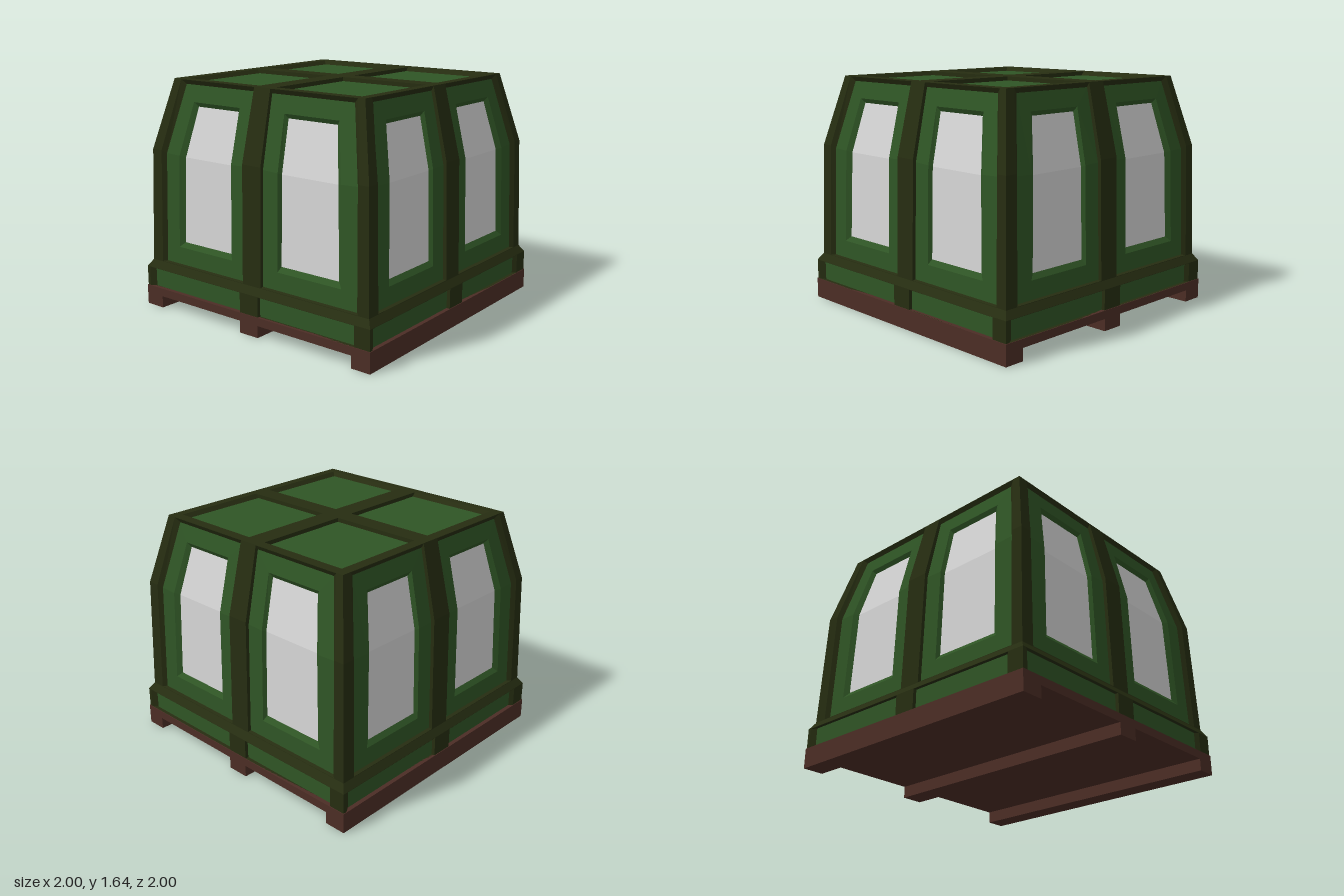
import * as THREE from 'three';

const mat = (name, color) => {
  const m = new THREE.MeshStandardMaterial({ color });
  m.name = name;
  return m;
};

// Half-width of the cabin at each height
const PROFILE = [[0.14, 0.995], [0.285, 0.995], [0.335, 0.962], [1.145, 0.94], [1.64, 0.82]];
function halfWidth(y) {
  for (let i = 1; i < PROFILE.length; i++) {
    const [y0, w0] = PROFILE[i - 1], [y1, w1] = PROFILE[i];
    if (y <= y1) return w0 + (w1 - w0) * (y - y0) / (y1 - y0);
  }
  return PROFILE[PROFILE.length - 1][1];
}

// Points [u, v, depth] of a surface are placed in space by these rules
const onWall = ([u, v, d]) => [u, v, halfWidth(v) - d];
const onRoof = ([u, v, d]) => [u, 1.64 - d, -v];

// Flat-shaded mesh from a list of quads
function quadMesh(name, material, quads, place) {
  const pos = [];
  for (const q of quads) {
    const p = q.map(place);
    for (const i of [0, 1, 2, 0, 2, 3]) pos.push(...p[i]);
  }
  const g = new THREE.BufferGeometry();
  g.setAttribute('position', new THREE.Float32BufferAttribute(pos, 3));
  g.computeVertexNormals();
  const mesh = new THREE.Mesh(g, material);
  mesh.name = name;
  return mesh;
}

// Quads joining an outline to a matching inner outline
const ring = (a, b) => a.map((p, i) => {
  const j = (i + 1) % a.length;
  return [p, a[j], b[j], b[i]];
});

// Mirror an outline for the other half, keeping it counter-clockwise
const sided = (pts, s) => s > 0 ? pts : pts.map(([u, v, d]) => [-u, v, d]).reverse();

// Rectangle outline
const rect = (u0, u1, v0, v1, d, s = 1) =>
  sided([[u0, v0, d], [u1, v0, d], [u1, v1, d], [u0, v1, d]], s);

// Bay outline that bends with the wall: inner edge, three outer edge points
const bay = (inner, [o0, o1, o2], y0, yk, y1, d, s) =>
  sided([[inner[0], y0, d], [o0, y0, d], [o1, yk, d], [o2, y1, d], [inner[1], y1, d], [inner[0], yk, d]], s);

const fillBay = (p, s) => s > 0
  ? [[p[0], p[1], p[2], p[5]], [p[5], p[2], p[3], p[4]]]
  : [[p[0], p[3], p[4], p[5]], [p[0], p[1], p[2], p[3]]];

function box(name, material, x0, x1, y0, y1, z0, z1) {
  const m = new THREE.Mesh(new THREE.BoxGeometry(x1 - x0, y1 - y0, z1 - z0), material);
  m.position.set((x0 + x1) / 2, (y0 + y1) / 2, (z0 + z1) / 2);
  m.name = name;
  return m;
}

export function createModel() {
  const green = mat('panel green', 0x2f5525);
  const olive = mat('frame dark olive', 0x262d11);
  const brown = mat('base brown', 0x4c2d25);
  const glass = mat('pale glass', 0xd6d6d6);

  const model = new THREE.Group();
  model.name = 'cabin';

  // Pallet base with three runners
  const base = new THREE.Group();
  base.name = 'base';
  base.add(box('deck', brown, -1, 1, 0.085, 0.143, -1, 1));
  for (const [x0, x1] of [[-1, -0.845], [-0.08, 0.08], [0.855, 1]])
    base.add(box('runner', brown, x0, x1, 0, 0.085, -1, 1));
  model.add(base);

  // Four identical walls, each with two bays
  for (let k = 0; k < 4; k++) {
    const wall = new THREE.Group();
    wall.name = 'wall';
    wall.rotation.y = k * Math.PI / 2;
    const frame = [], panel = [], panes = [];

    for (const s of [1, -1]) {
      const t = s * 0.007;
      const outer = (a) => a.map((v) => v + t);

      // Frame around the upper bay and its bevelled reveal
      const cell = bay([0, 0], [halfWidth(0.335), halfWidth(1.145), 0.82], 0.335, 1.145, 1.64, 0, s);
      const opening = bay([0.08, 0.07], outer([0.873, 0.86, 0.76]), 0.338, 1.145, 1.637, 0, s);
      const inset = bay([0.08, 0.07], outer([0.847, 0.832, 0.725]), 0.342, 1.125, 1.606, 0.025, s);
      frame.push(...ring(cell, opening), ...ring(opening, inset));

      // Panel with its window opening and glass
      const win = bay([0.205, 0.195], outer([0.722, 0.705, 0.63]), 0.465, 1.12, 1.49, 0.025, s);
      const pane = bay([0.22, 0.215], outer([0.685, 0.667, 0.602]), 0.5, 1.11, 1.46, 0.05, s);
      panel.push(...ring(inset, win), ...ring(win, pane));
      panes.push(...fillBay(pane, s));

      // Lower skirt: one corner post is narrower than the other
      const [post, floor] = s > 0 ? [0.88, 0.855] : [0.97, 0.93];
      const low = rect(0.08, post, 0.143, 0.283, 0, s);
      const lowIn = rect(0.08, floor, 0.143, 0.283, 0.025, s);
      frame.push(...ring(rect(0, 0.995, 0.143, 0.285, 0, s), low), ...ring(low, lowIn));
      panel.push(lowIn);
    }

    // Sloped sill between skirt and upper wall
    const w = halfWidth(0.335);
    frame.push([[-0.995, 0.285, 0], [0.995, 0.285, 0], [w, 0.335, 0], [-w, 0.335, 0]]);

    wall.add(
      quadMesh('wallFrame', olive, frame, onWall),
      quadMesh('wallPanel', green, panel, onWall),
      quadMesh('windowGlass', glass, panes, onWall),
    );
    model.add(wall);
  }

  // Roof: cross-shaped frame with four recessed panels
  const roofFrame = [], roofPanel = [];
  // Each span: cell edges, opening edges, panel edges
  const spansX = [[-0.82, 0, -0.745, -0.075, -0.72, -0.075], [0, 0.82, 0.07, 0.755, 0.07, 0.73]];
  const spansV = [[-0.82, 0, -0.762, -0.062, -0.74, -0.062], [0, 0.82, 0.07, 0.75, 0.07, 0.727]];
  for (const x of spansX) for (const v of spansV) {
    const cell = rect(x[0], x[1], v[0], v[1], 0);
    const opening = rect(x[2], x[3], v[2], v[3], 0);
    const floor = rect(x[4], x[5], v[4], v[5], 0.028);
    roofFrame.push(...ring(cell, opening), ...ring(opening, floor));
    roofPanel.push(floor);
  }
  model.add(
    quadMesh('roofFrame', olive, roofFrame, onRoof),
    quadMesh('roofPanel', green, roofPanel, onRoof),
  );

  return model;
}
